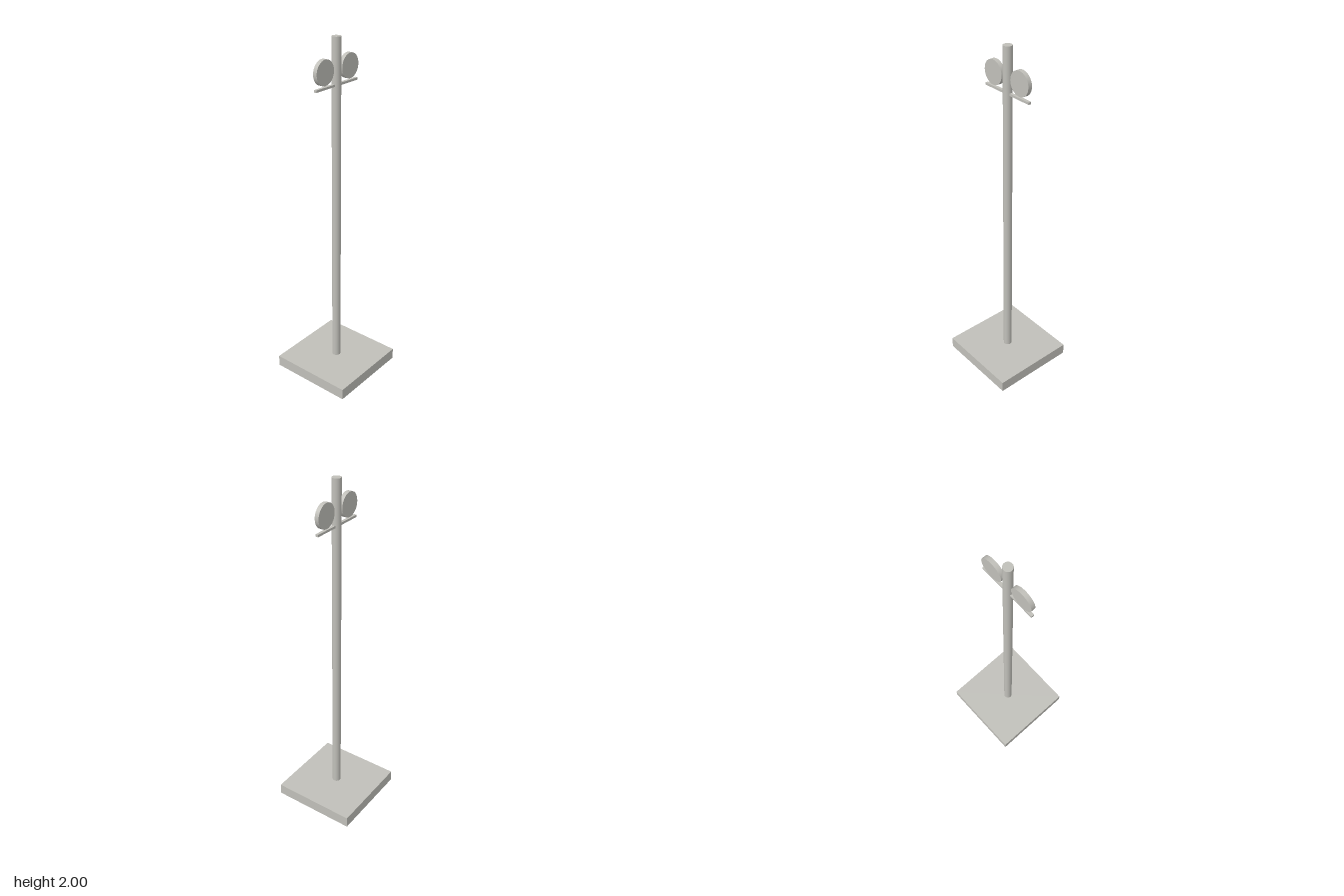
import * as THREE from 'three';

export function createModel() {
  const model = new THREE.Group();
  const grey = new THREE.MeshStandardMaterial({ color: 0xc0bfb9 });
  grey.name = 'warm grey';

  const add = (name, geometry, x, y) => {
    const mesh = new THREE.Mesh(geometry, grey);
    mesh.name = name;
    mesh.position.set(x, y, 0);
    model.add(mesh);
    return mesh;
  };

  // Square foot slab and tall round pole
  const baseHeight = 0.067;
  add('base', new THREE.BoxGeometry(0.5, baseHeight, 0.5), 0, baseHeight / 2);
  add('pole', new THREE.CylinderGeometry(0.025, 0.025, 2 - baseHeight, 32), 0, (2 + baseHeight) / 2);

  // Thin crossbar below the discs
  add('crossbar', new THREE.BoxGeometry(0.334, 0.0125, 0.0167), 0, 1.753);

  // Pair of upright discs facing front and back
  const disc = new THREE.CylinderGeometry(0.067, 0.067, 0.0234, 32).rotateX(Math.PI / 2);
  for (const side of [1, -1]) {
    add(side > 0 ? 'leftDisc' : 'rightDisc', disc, side * 0.1, 1.835);
  }

  return model;
}
